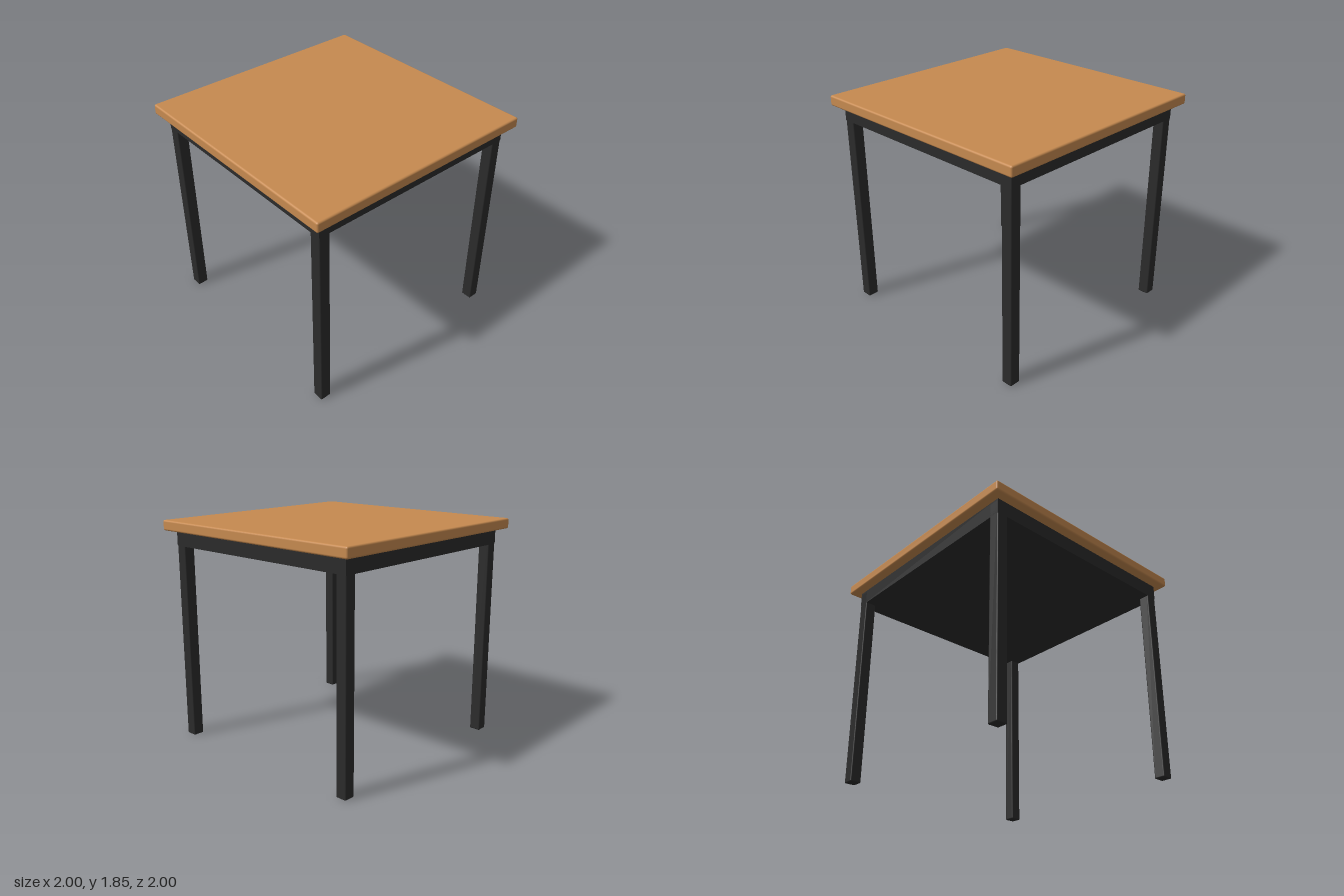
import * as THREE from 'three';
import { RoundedBoxGeometry } from 'three/addons/geometries/RoundedBoxGeometry.js';

export function createModel() {
  const table = new THREE.Group();
  table.name = 'table';
  const wood = new THREE.MeshStandardMaterial({ color: 0xc68a50 });
  wood.name = 'warm wood';
  const black = new THREE.MeshStandardMaterial({ color: 0x2b2b2b });
  black.name = 'black metal';

  const add = (name, geometry, material, x, y, z) => {
    const mesh = new THREE.Mesh(geometry, material);
    mesh.name = name;
    mesh.position.set(x, y, z);
    table.add(mesh);
  };

  const height = 1.85, topThickness = 0.085, apronDepth = 0.125;
  const legWidth = 0.094, outer = 0.922;
  const underside = height - topThickness;

  // Square top with softened edges
  add('tableTop', new RoundedBoxGeometry(2, topThickness, 2, 3, 0.015), wood,
    0, height - topThickness / 2, 0);

  // Solid apron block under the top, flush with the legs
  add('apron', new THREE.BoxGeometry(outer * 2, apronDepth, outer * 2), black,
    0, underside - apronDepth / 2, 0);

  // Four square legs with softened edges, one in each corner
  const legHeight = underside - 0.005;
  const legGeometry = new RoundedBoxGeometry(legWidth, legHeight, legWidth, 3, 0.01);
  const legCentre = outer - legWidth / 2;
  for (const [xName, sx] of [['Left', 1], ['Right', -1]]) {
    for (const [zName, sz] of [['front', 1], ['back', -1]]) {
      add(`${zName}${xName}Leg`, legGeometry, black,
        sx * legCentre, legHeight / 2, sz * legCentre);
    }
  }
  return table;
}
